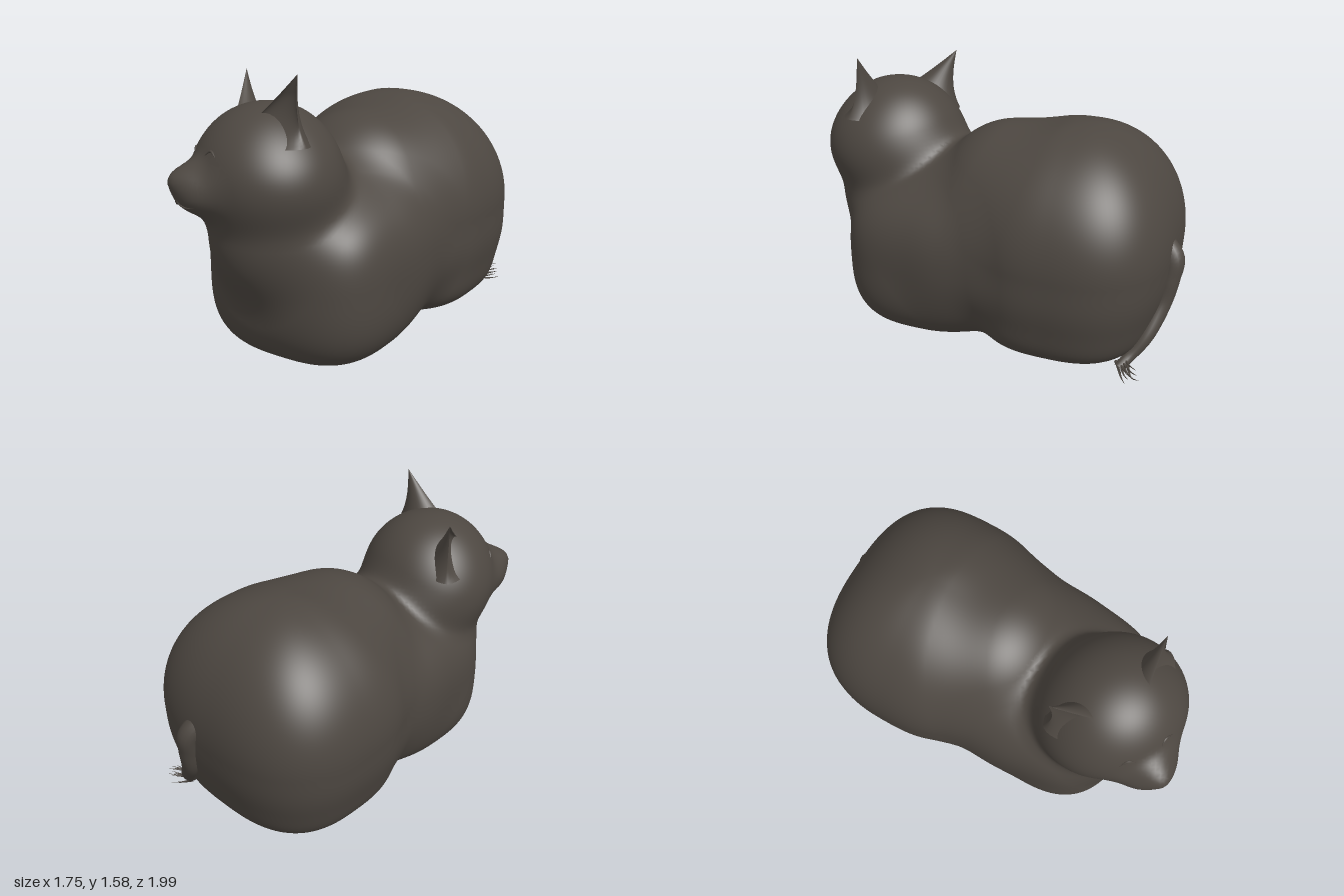
import * as THREE from 'three';
import { mergeVertices } from 'three/addons/utils/BufferGeometryUtils.js';

const fur = new THREE.MeshStandardMaterial({ color: 0x4d4741 });
fur.name = 'dark fur';

// Body lies diagonally; the head is turned to its right and slightly tilted
const frame = (x, y, z, yaw, roll) => new THREE.Matrix4()
  .makeRotationFromEuler(new THREE.Euler(0, yaw, roll, 'YXZ')).setPosition(x, y, z);
const bodyFrame = frame(0, 0, 0, -Math.PI / 6, 0);
const headFrame = frame(-0.44, 1.07, 0.59, -Math.PI / 3, 0.1);
const MELT = 0.1;

// Blobs: [x, y, z, rx, ry, rz, plan roundness, upright roundness]
const flesh = [
  {
    inverse: bodyFrame.clone().invert(),
    blobs: [
      [-0.02, 0.66, -0.4, 0.65, 0.635, 0.565, 2.7, 2],    // rump
      [0, 0.335, -0.38, 0.585, 0.285, 0.5, 2.8, 3.2],     // folded hind legs
      [0, 0.74, -0.02, 0.5, 0.51, 0.46, 2, 2],            // back
      [0, 0.56, 0.12, 0.555, 0.46, 0.45, 2.4, 2.3],       // flanks
      [0, 0.62, 0.38, 0.47, 0.43, 0.42, 2.2, 2],          // shoulders
      [0, 0.46, 0.43, 0.54, 0.46, 0.485, 2.8, 3],         // chest and folded forelegs
      [-0.05, 0.76, 0.715, 0.345, 0.42, 0.345, 2, 2],     // neck
    ],
  },
  {
    inverse: headFrame.clone().invert(),
    blobs: [
      [0, 0, 0, 0.37, 0.335, 0.36, 2, 2],                 // skull
      [0, -0.07, 0, 0.4, 0.27, 0.35, 2, 2],               // cheeks
      [0, -0.075, 0.36, 0.14, 0.095, 0.12, 2.4, 2.2],     // muzzle
      [0, 0, 0.36, 0.05, 0.045, 0.11, 2, 2],              // bridge of the nose
    ],
  },
];

// Signed field of all blobs melted together
const local = new THREE.Vector3();
function field(x, y, z) {
  let d = 1e3;
  for (const { inverse, blobs } of flesh) {
    local.set(x, y, z).applyMatrix4(inverse);
    for (const [bx, by, bz, rx, ry, rz, p, q] of blobs) {
      const plan = (Math.abs((local.x - bx) / rx) ** p + Math.abs((local.z - bz) / rz) ** p) ** (1 / p);
      const r = (plan ** q + Math.abs((local.y - by) / ry) ** q) ** (1 / q);
      const e = (r - 1) * Math.min(rx, ry, rz);
      const h = Math.max(MELT - Math.abs(d - e), 0) / MELT;
      d = Math.min(d, e) - h * h * MELT / 4;
    }
  }
  return d;
}

function gradient(v) {
  const e = 0.002;
  return new THREE.Vector3(
    field(v.x + e, v.y, v.z) - field(v.x - e, v.y, v.z),
    field(v.x, v.y + e, v.z) - field(v.x, v.y - e, v.z),
    field(v.x, v.y, v.z + e) - field(v.x, v.y, v.z - e),
  ).divideScalar(2 * e);
}

// Skin over the field: one vertex per crossed grid cell, one quad per crossed edge
function skin() {
  const step = 0.025, n = [86, 66, 88], low = [-1.06, -0.1, -1.1];
  const stride = [1, n[0], n[0] * n[1]];
  const values = new Float32Array(n[0] * n[1] * n[2]);
  const at = i => [i % n[0], Math.floor(i / n[0]) % n[1], Math.floor(i / stride[2])];
  for (let i = 0; i < values.length; i++) values[i] = field(...at(i).map((c, a) => low[a] + c * step));
  const positions = [], normals = [], indices = [], ids = new Map();
  const vertex = cell => {
    if (!ids.has(cell)) {
      const v = new THREE.Vector3(...at(cell).map((c, a) => low[a] + (c + 0.5) * step));
      for (let k = 0; k < 4; k++) {
        const g = gradient(v);
        v.addScaledVector(g, -field(v.x, v.y, v.z) / Math.max(g.lengthSq(), 0.05));
      }
      ids.set(cell, positions.length / 3);
      positions.push(...v.toArray());
      normals.push(...gradient(v).normalize().toArray());
    }
    return ids.get(cell);
  };
  for (let i = stride[2] + stride[1] + 1; i < values.length - stride[2]; i++) {
    for (let a = 0; a < 3; a++) {
      const inside = values[i] < 0;
      if (inside === values[i + stride[a]] < 0) continue;
      const b = stride[(a + 1) % 3], c = stride[(a + 2) % 3];
      const quad = [i, i - b, i - b - c, i - c].map(vertex);
      if (!inside) quad.reverse();
      indices.push(quad[0], quad[1], quad[2], quad[0], quad[2], quad[3]);
    }
  }
  const g = new THREE.BufferGeometry();
  g.setAttribute('position', new THREE.Float32BufferAttribute(positions, 3));
  g.setAttribute('normal', new THREE.Float32BufferAttribute(normals, 3));
  g.setIndex(indices);
  return g;
}

// Point where a ray from inside leaves the skin
function cast(from, dir) {
  const v = from.clone();
  while (field(v.x, v.y, v.z) < 0) v.addScaledVector(dir, 0.002);
  return v;
}

function smooth(geometry) {
  geometry.deleteAttribute('uv');
  geometry.deleteAttribute('normal');
  const g = mergeVertices(geometry, 1e-5);
  g.computeVertexNormals();
  return g;
}

function part(name, geometry) {
  const mesh = new THREE.Mesh(geometry, fur);
  mesh.name = name;
  return mesh;
}

// Tube along points whose radius follows a rule of 0..1
function taperedTube(points, radius, segments, sides) {
  const curve = new THREE.CatmullRomCurve3(points);
  const g = new THREE.TubeGeometry(curve, segments, 1, sides);
  const pos = g.attributes.position;
  const v = new THREE.Vector3();
  for (let i = 0; i < pos.count; i++) {
    const t = Math.floor(i / (sides + 1)) / segments;
    const c = curve.getPointAt(t);
    v.fromBufferAttribute(pos, i).sub(c).multiplyScalar(radius(t)).add(c);
    pos.setXYZ(i, v.x, v.y, v.z);
  }
  return smooth(g);
}

// Pointed ear: flared cone, hollow in front, turned and leaning outward
function ear(side) {
  const g = new THREE.ConeGeometry(1, 1, 32, 24, true);
  const pos = g.attributes.position;
  const c = Math.cos(0.6), s = Math.sin(0.6) * side;
  for (let i = 0; i < pos.count; i++) {
    const v = pos.getY(i) + 0.5;
    const a = Math.atan2(pos.getZ(i), pos.getX(i));
    const w = 0.17 * (1 - v) + 0.08 * (1 - v) ** 3;
    const x = w * Math.cos(a);
    const z = w * Math.sin(a) * (Math.sin(a) < 0 ? 0.75 : 0.4 - 0.9 * Math.min(v * 1.4, 1));
    pos.setXYZ(i, side * (0.17 + 0.165 * v) + x * c + z * s, 0.13 + 0.345 * v, 0.08 - 0.13 * v - x * s + z * c);
  }
  g.applyMatrix4(headFrame);
  return part(side > 0 ? 'leftEar' : 'rightEar', smooth(g));
}

// Fine line lying on the face
function faceLine(name, dirs, radius) {
  const centre = new THREE.Vector3().setFromMatrixPosition(headFrame);
  const pts = dirs.map(d => cast(centre, new THREE.Vector3(...d).transformDirection(headFrame)));
  return part(name, taperedTube(pts, t => radius * (0.15 + Math.sin(Math.PI * t)), 16, 8));
}

export function createModel() {
  const model = new THREE.Group();
  model.name = 'restingCat';
  model.add(part('bodyAndHead', skin()));

  for (const side of [1, -1]) {
    model.add(ear(side));
    model.add(faceLine('closedEye', [[side * 0.08, 0.11, 0.35], [side * 0.12, 0.14, 0.35], [side * 0.17, 0.11, 0.34]], 0.006));
    model.add(faceLine('mouth', [[0, -0.09, 0.45], [side * 0.05, -0.125, 0.43], [side * 0.11, -0.12, 0.38]], 0.004));
  }

  // Tail hanging down the rump and sweeping to the side: [x, y, z, lift off the skin]
  const tailPath = [[0.52, 0.74, -0.75, -0.09], [0.54, 0.65, -0.74, 0], [0.56, 0.54, -0.73, 0], [0.59, 0.4, -0.71, 0], [0.63, 0.24, -0.6, 0.01]]
    .map(([x, y, z, lift]) => {
      const dir = new THREE.Vector3(x - 0.2, 0, z + 0.35).normalize();
      return cast(new THREE.Vector3(0.2, y, -0.35), dir).addScaledVector(dir, lift);
    });
  tailPath.push(new THREE.Vector3(0.7, 0.14, -0.53), new THREE.Vector3(0.74, 0.1, -0.46));
  model.add(part('tail', taperedTube(tailPath, t => 0.06 - 0.035 * t * t, 48, 16)));

  // Wispy hairs at the tail tip
  const tuft = new THREE.Group();
  tuft.name = 'tailTuft';
  for (let i = 0; i < 9; i++) {
    const dy = ((i * 4) % 9 - 4) * 0.01, dz = (i - 4) * 0.008;
    const path = [
      new THREE.Vector3(0.7, 0.11 + dy * 0.4, -0.49 + dz),
      new THREE.Vector3(0.78, 0.1 + dy, -0.49 + dz),
      new THREE.Vector3(0.83 + 0.01 * (i % 4), 0.11 + dy, -0.5 + dz * 1.5),
    ];
    tuft.add(part('tailHair', taperedTube(path, t => 0.009 * (1.05 - t), 8, 6)));
  }
  model.add(tuft);
  return model;
}
